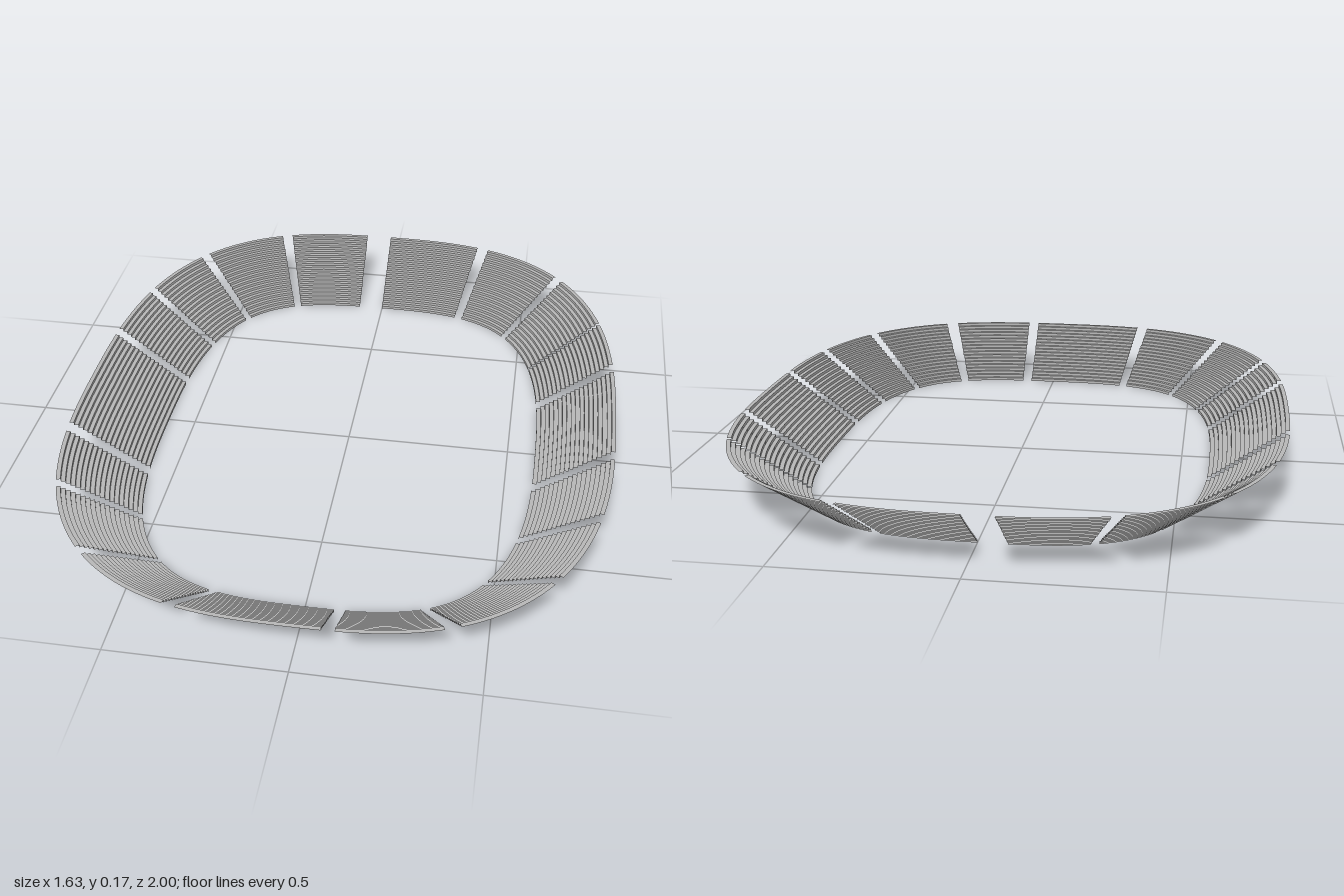
import * as THREE from 'three';

const HALF_X = 0.815, HALF_Z = 1, POWER = 2.75; // rounded oval of the outer rim
const DEPTH = 0.23, HEIGHT = 0.165, ROWS = 18, SEGMENTS = 12;

// Start and end of each seating block, in degrees from +x toward +z
const blocks = [
  [-90, -71.6], [-69.4, -53], [-51, -34.7], [-34.1, -19.7], [-17.1, 11.4],
  [13.8, 29.9], [32.1, 46.6], [48.6, 65.2], [67.6, 83.1], [85.1, 106.8],
  [108.9, 125.6], [127.6, 142.9], [144.7, 158.7], [161.4, 194.7],
  [197.1, 212.2], [214.1, 228.8], [230.8, 247.3], [249.3, 265.1],
];

// Point on the rim at an angle, moved inward along the rim's normal
function rimPoint(angle, inset) {
  const c = Math.cos(angle), s = Math.sin(angle);
  const r = (Math.abs(c / HALF_X) ** POWER + Math.abs(s / HALF_Z) ** POWER) ** (-1 / POWER);
  const x = r * c, z = r * s;
  const nx = Math.sign(x) * Math.abs(x / HALF_X) ** (POWER - 1) / HALF_X;
  const nz = Math.sign(z) * Math.abs(z / HALF_Z) ** (POWER - 1) / HALF_Z;
  const len = Math.hypot(nx, nz);
  return [x - inset * nx / len, z - inset * nz / len];
}

// Stair profile from the inner foot to the outer rim: [inset, height]
const profile = [[DEPTH, 0]];
for (let i = 0; i < ROWS; i++) {
  const y = HEIGHT * (i + 1) / ROWS;
  profile.push([DEPTH * (1 - i / ROWS), y], [DEPTH * (1 - (i + 1) / ROWS), y]);
}

// Sweeps the stair profile along one stretch of the rim
function terraceGeometry(startDeg, endDeg) {
  const positions = [], index = [], n = profile.length;
  for (let i = 0; i <= SEGMENTS; i++) {
    const angle = THREE.MathUtils.degToRad(startDeg + (endDeg - startDeg) * i / SEGMENTS);
    for (const [inset, y] of profile) {
      const [x, z] = rimPoint(angle, inset);
      positions.push(x, y, z);
    }
  }
  for (let i = 0; i < SEGMENTS; i++) {
    for (let j = 0; j < n - 1; j++) {
      const a = i * n + j, b = a + n;
      index.push(a, b, a + 1, b, b + 1, a + 1);
    }
  }
  const indexed = new THREE.BufferGeometry();
  indexed.setAttribute('position', new THREE.Float32BufferAttribute(positions, 3));
  indexed.setIndex(index);
  const geometry = indexed.toNonIndexed();
  geometry.computeVertexNormals();
  return geometry;
}

export function createModel() {
  const model = new THREE.Group();
  model.name = 'seatingBowl';
  const concrete = new THREE.MeshStandardMaterial({ color: 0xb8b8b8, side: THREE.DoubleSide });
  concrete.name = 'concreteGrey';

  // Stepped seating blocks separated by aisles
  blocks.forEach(([start, end], i) => {
    const block = new THREE.Mesh(terraceGeometry(start, end), concrete);
    block.name = `seatingBlock${i + 1}`;
    model.add(block);
  });
  return model;
}
